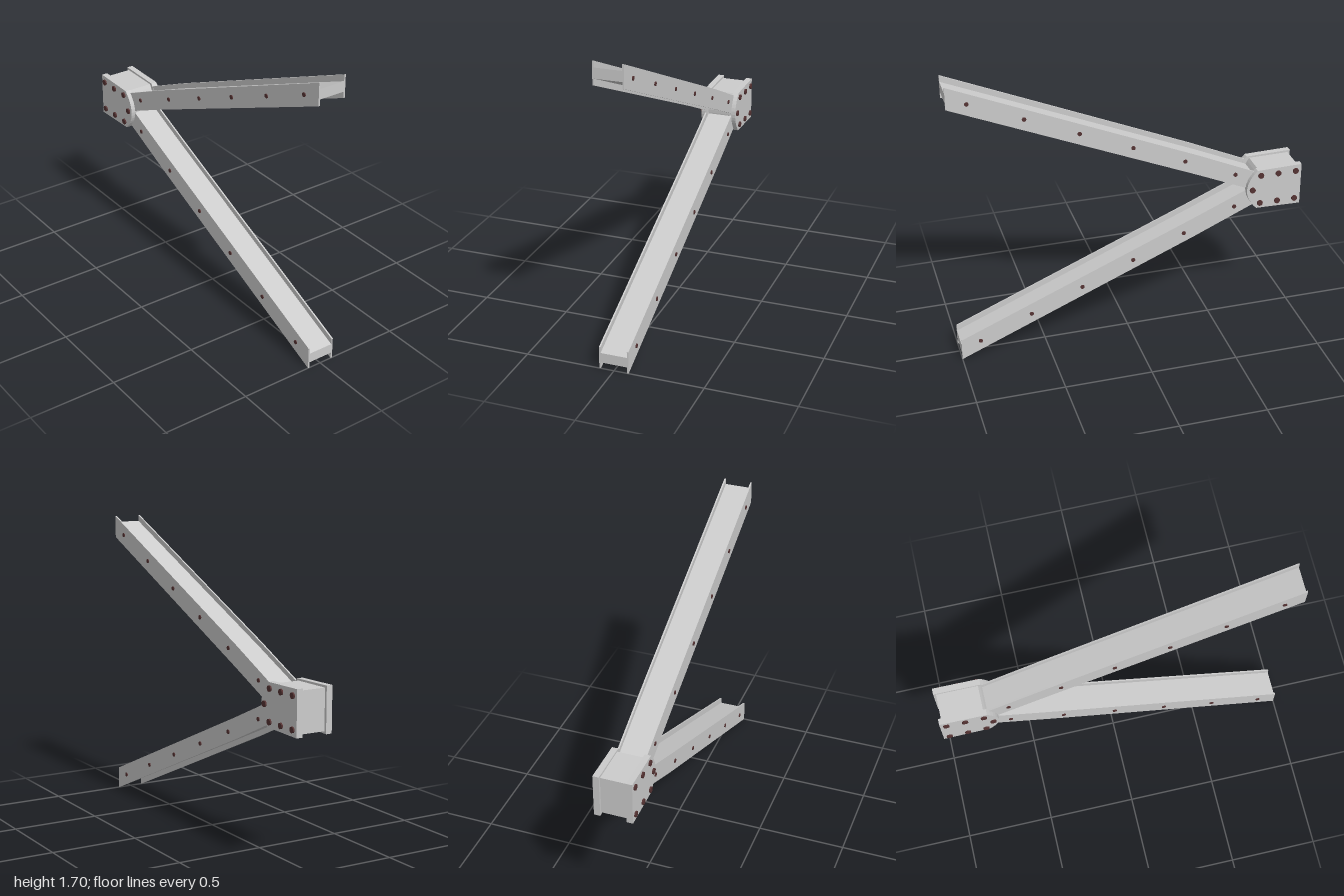
import * as THREE from 'three';

const MID = 0.85; // height of the mirror line between both beams
const steel = new THREE.MeshStandardMaterial({ color: 0xcccccc, flatShading: true });
const boltSteel = new THREE.MeshStandardMaterial({ color: 0x553333, flatShading: true });

// Extrudes a side profile of [z, y] points from x0 to x1
function sidePlate(name, points, x0, x1) {
  const shape = new THREE.Shape(points.map(([z, y]) => new THREE.Vector2(-z, y)));
  const geo = new THREE.ExtrudeGeometry(shape, { depth: x1 - x0, bevelEnabled: false });
  geo.rotateY(Math.PI / 2).translate(x0, 0, 0);
  const mesh = new THREE.Mesh(geo, steel);
  mesh.name = name;
  return mesh;
}

// Pair of bolt heads, one on each side
function boltPair(name, z, y, radius, x0, x1) {
  const pair = new THREE.Group();
  pair.name = name;
  for (const side of [-1, 1]) {
    const geo = new THREE.CylinderGeometry(radius, radius, x1 - x0, 12);
    geo.rotateZ(Math.PI / 2);
    const bolt = new THREE.Mesh(geo, boltSteel);
    bolt.name = 'bolt';
    bolt.position.set(side * (x0 + x1) / 2, y, z);
    pair.add(bolt);
  }
  return pair;
}

// H-section beam; flip mirrors it about the middle height
function beam(name, flip) {
  const group = new THREE.Group();
  group.name = name;
  const fy = (y) => (flip ? 2 * MID - y : y);
  const mirror = (pts) => pts.map(([z, y]) => [z, fy(y)]);

  // Side flanges, slightly steeper past the bend
  const flange = mirror([
    [1, 0], [1, 0.127], [-0.38, 0.713], [-0.69, 0.849],
    [-0.75, 0.849], [-0.75, 0.757], [-0.38, 0.59],
  ]);
  group.add(sidePlate('leftFlange', flange, 0.074, 0.083));
  group.add(sidePlate('rightFlange', flange, -0.083, -0.074));

  // Web between the flanges
  const web = mirror([
    [1, 0.035], [1, 0.092], [-0.38, 0.678], [-0.75, 0.84],
    [-0.75, 0.785], [-0.38, 0.621],
  ]);
  group.add(sidePlate('web', web, -0.075, 0.075));

  // Bolts along the flanges
  for (let i = 0; i < 6; i++) {
    group.add(boltPair('flangeBolts', 0.89 - i * 0.3, fy(0.107 + i * 0.128), 0.012, 0.08, 0.088));
  }
  return group;
}

// Profile with a square back and a rounded nose
function nosedProfile(back, front, nose, halfBack, halfFront) {
  const pts = [[back, MID - halfBack], [back, MID + halfBack]];
  for (let i = 0; i <= 12; i++) {
    const t = 1 - i / 6;
    pts.push([front + (nose - front) * (1 - t * t), MID + halfFront * t]);
  }
  return pts;
}

export function createModel() {
  const model = new THREE.Group();
  model.name = 'hingedBeams';
  model.add(beam('lowerBeam', false), beam('upperBeam', true));

  // Joint: core block between two gusset plates
  const joint = new THREE.Group();
  joint.name = 'joint';
  const plate = nosedProfile(-1, -0.735, -0.675, 0.126, 0.12);
  joint.add(sidePlate('leftGusset', plate, 0.073, 0.108));
  joint.add(sidePlate('rightGusset', plate, -0.108, -0.073));
  joint.add(sidePlate('coreBlock', nosedProfile(-0.985, -0.75, -0.712, 0.113, 0.11), -0.074, 0.074));

  // Gusset bolts: two rows of three and one at the nose
  for (const z of [-0.755, -0.86, -0.965]) {
    for (const dy of [-0.088, 0.088]) {
      joint.add(boltPair('gussetBolts', z, MID + dy, 0.017, 0.1, 0.117));
    }
  }
  joint.add(boltPair('noseBolts', -0.708, MID, 0.017, 0.1, 0.117));
  model.add(joint);
  return model;
}
